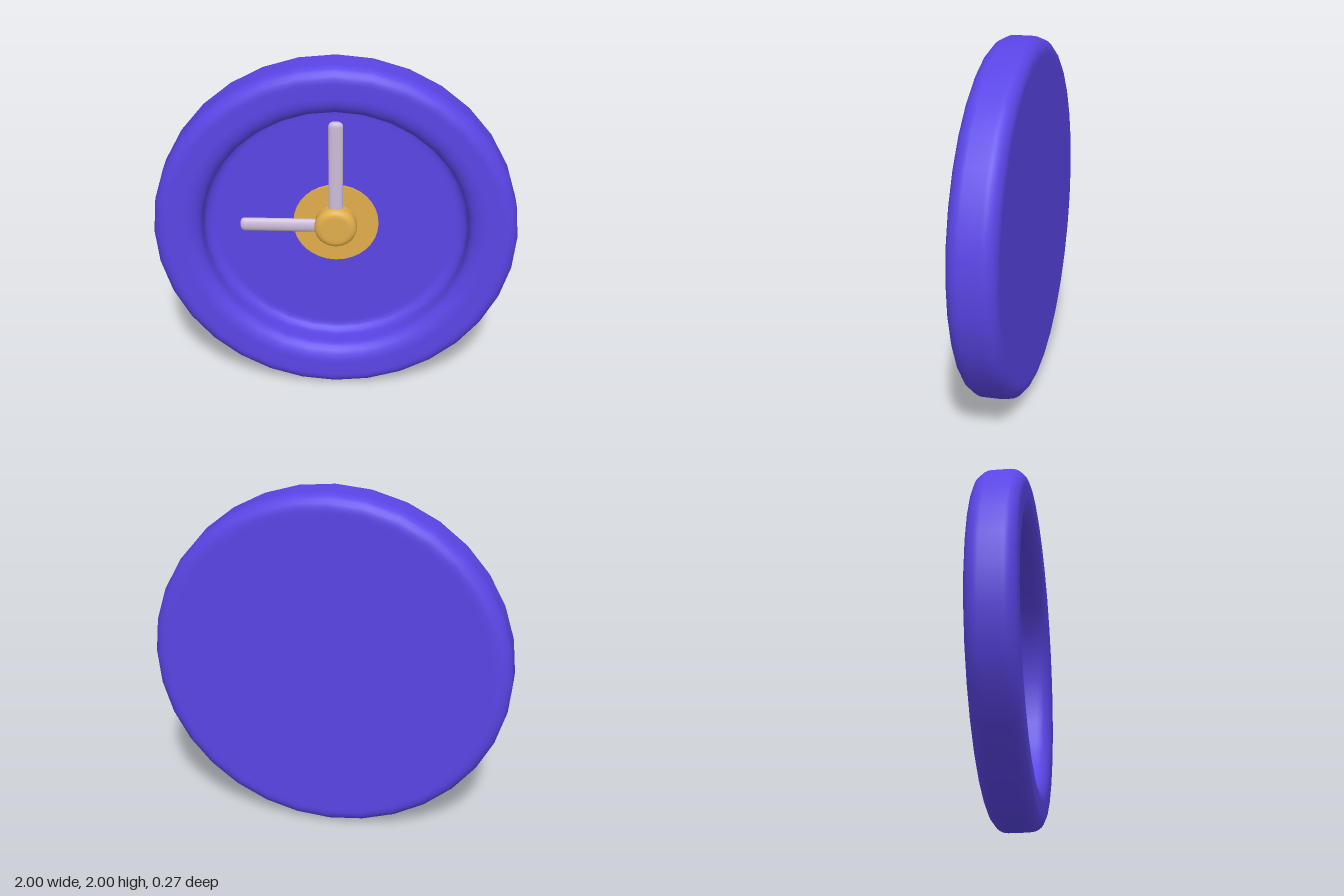
import * as THREE from 'three';

const paint = (color) => new THREE.MeshStandardMaterial({ color });
const BLUE = paint(0x5a45e6), GOLD = paint(0xe0ad4a), LILAC = paint(0xcdbcd9);
const SIDES = 32;

// Points along a quarter ellipse in the (radius, depth) plane
function arc(cx, cy, rx, ry, from, to, steps = 6) {
  return Array.from({ length: steps + 1 }, (_, i) => {
    const a = THREE.MathUtils.degToRad(from + ((to - from) * i) / steps);
    return [cx + rx * Math.cos(a), cy + ry * Math.sin(a)];
  });
}

function lathe(name, profile, material, sides = SIDES) {
  const points = profile.map(([r, y]) => new THREE.Vector2(Math.max(r, 0), y));
  const mesh = new THREE.Mesh(new THREE.LatheGeometry(points, sides), material);
  mesh.name = name;
  return mesh;
}

// Flattened rod with a softly rounded tip, growing along +y from the hub
function hand(name, length, angle) {
  const r = 0.04, round = 0.024;
  const mesh = lathe(name, [
    [0, 0], [r, 0], [r, 0.02], [r, length - round - 0.01],
    ...arc(r - round, length - round, round, round, 0, 90, 4),
    [0, length],
  ], LILAC, 20);
  mesh.scale.z = 0.55;
  mesh.rotation.z = angle;
  mesh.position.z = -0.02;
  return mesh;
}

export function createModel() {
  const clock = new THREE.Group();
  clock.name = 'wallClock';

  // Parts turned about the clock's front-to-back axis
  const turned = new THREE.Group();
  turned.name = 'turnedParts';
  turned.rotation.x = Math.PI / 2;

  // Casing: flat back, rounded rim, recessed dial
  turned.add(lathe('casing', [
    [0, -0.133], [0.9, -0.133],
    ...arc(0.92, -0.053, 0.08, 0.08, -90, 0),
    ...arc(0.92, 0.053, 0.08, 0.08, 0, 90),
    ...arc(0.84, 0.053, 0.105, 0.08, 90, 180),
    ...arc(0.675, 0, 0.06, 0.06, 0, -90, 5),
    [0.65, -0.06], [0, -0.06],
  ], BLUE));

  // Thin gold plate behind the hands
  const plate = new THREE.Mesh(new THREE.CylinderGeometry(0.238, 0.238, 0.02, SIDES), GOLD);
  plate.name = 'centrePlate';
  plate.position.y = -0.056;
  turned.add(plate);

  // Domed hub cap
  turned.add(lathe('hub', [
    [0.118, -0.055], [0.118, -0.01],
    ...arc(0.078, 0, 0.04, 0.035, 0, 90, 5),
    [0.06, 0.035], [0, 0.035],
  ], GOLD));
  clock.add(turned);

  clock.add(hand('minuteHand', 0.635, 0), hand('hourHand', 0.53, Math.PI / 2));

  clock.position.y = 1;
  const model = new THREE.Group();
  model.add(clock);
  return model;
}
